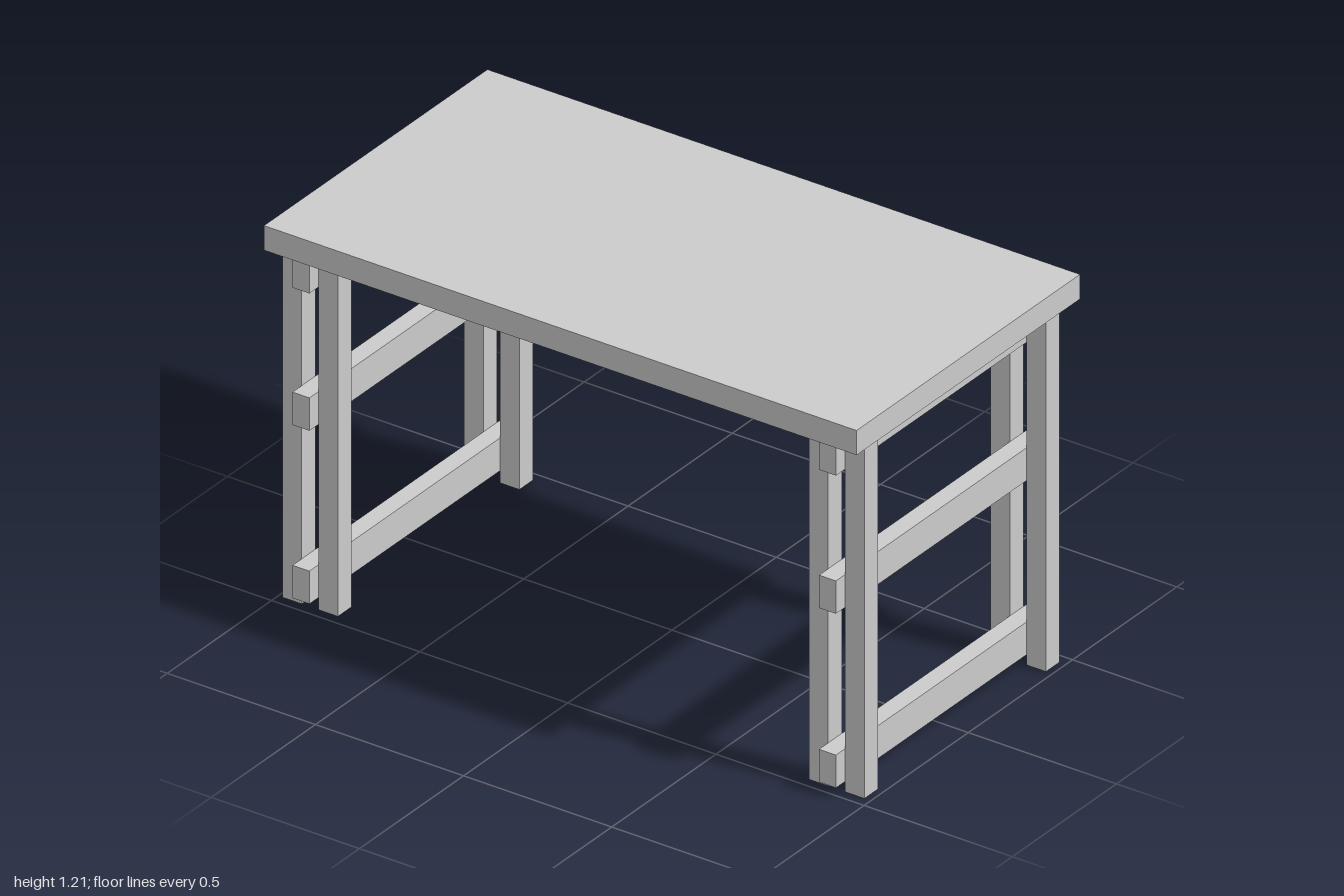
import * as THREE from 'three';

const material = new THREE.MeshStandardMaterial({ color: 0xcccccc, flatShading: true });

// Box given by its size and centre
function addBox(parent, name, [w, h, d], [x, y, z]) {
  const mesh = new THREE.Mesh(new THREE.BoxGeometry(w, h, d), material);
  mesh.name = name;
  mesh.position.set(x, y, z);
  parent.add(mesh);
}

const TOP_Y = 1.205, TOP_THICKNESS = 0.078;
const LEG_HEIGHT = TOP_Y - TOP_THICKNESS;
const LEG = 0.065, RAIL_WIDTH = 0.057, RAIL_HEIGHT = 0.104;

// Trestle: two pairs of legs clamping three long rails
function createTrestle(name, x, railHeights) {
  const trestle = new THREE.Group();
  trestle.name = name;
  trestle.position.x = x;
  const legX = (RAIL_WIDTH + LEG) / 2;
  for (const sx of [-1, 1]) {
    for (const sz of [-1, 1]) {
      addBox(trestle, 'leg', [LEG, LEG_HEIGHT, LEG], [sx * legX, LEG_HEIGHT / 2, sz * 0.4355]);
    }
  }
  const railNames = ['bottomRail', 'middleRail', 'topRail'];
  railHeights.forEach((y, i) =>
    addBox(trestle, railNames[i], [RAIL_WIDTH, RAIL_HEIGHT, 1.024], [0, y, 0]));
  return trestle;
}

export function createModel() {
  const table = new THREE.Group();
  table.name = 'trestleTable';

  // Table top
  addBox(table, 'tableTop', [2, TOP_THICKNESS, 1.072], [0, TOP_Y - TOP_THICKNESS / 2, 0]);

  // Trestles, with slightly uneven hand-built rails
  const topRailY = LEG_HEIGHT - RAIL_HEIGHT / 2;
  table.add(createTrestle('leftTrestle', 0.885, [0.085, 0.637, topRailY]));
  table.add(createTrestle('rightTrestle', -0.892, [0.091, 0.64, topRailY]));
  return table;
}
